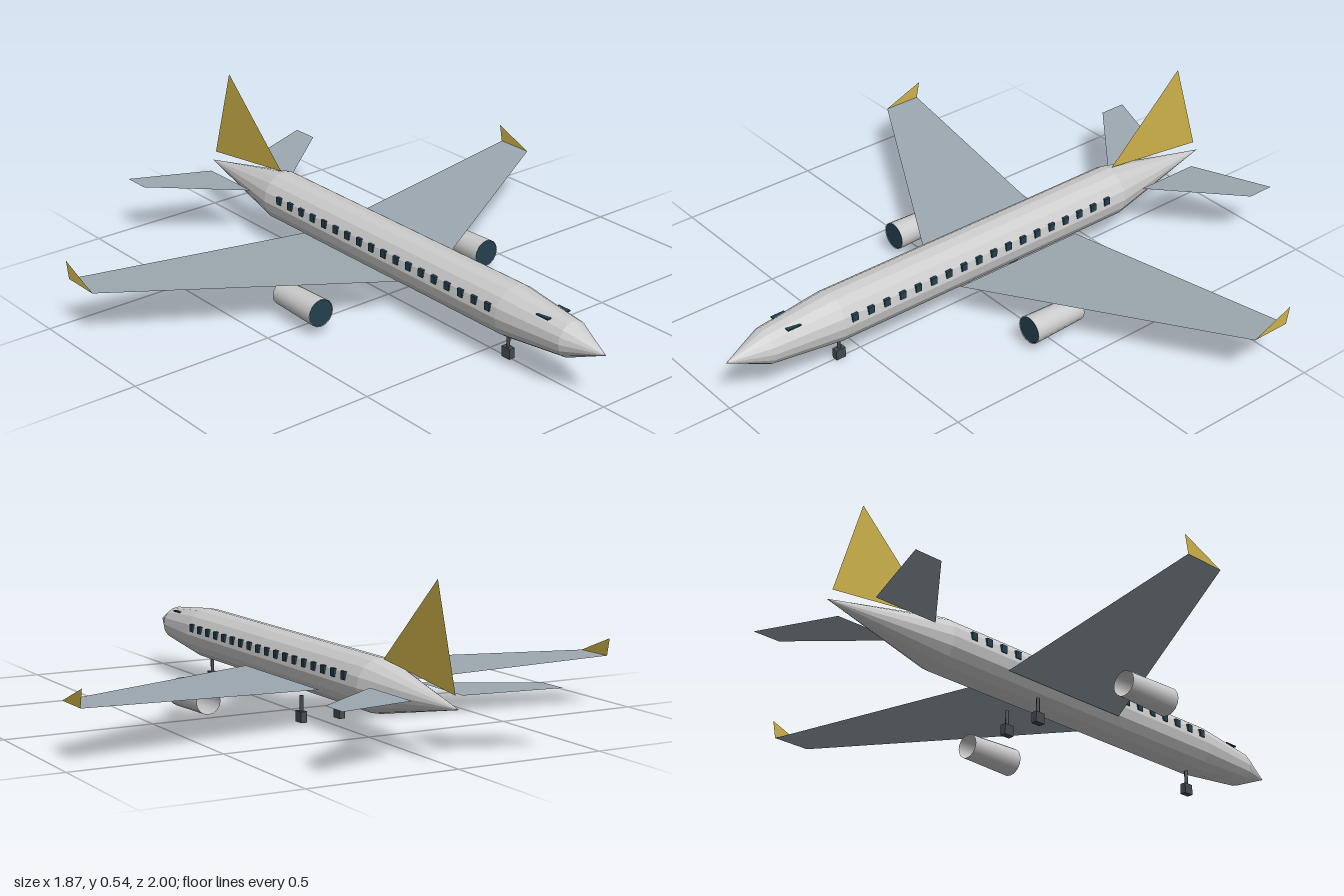
import * as THREE from 'three';

const mat = (color, extra = {}) => new THREE.MeshStandardMaterial({ color, ...extra });
const thin = { side: THREE.DoubleSide, flatShading: true };

export function createModel() {
  const plane = new THREE.Group();
  plane.name = 'airliner';
  const bodyMat = mat(0xcccccc, { flatShading: true });
  const shellMat = mat(0xcccccc, { side: THREE.DoubleSide });
  const wingMat = mat(0x9ca8b0, thin);
  const goldMat = mat(0xd0b44c, thin);
  const glassMat = mat(0x24404f, { side: THREE.DoubleSide });
  const gearMat = mat(0x454b50);

  const add = (name, geometry, material, x = 0, y = 0, z = 0) => {
    const mesh = new THREE.Mesh(geometry, material);
    mesh.name = name;
    mesh.position.set(x, y, z);
    plane.add(mesh);
    return mesh;
  };

  // Thin flat panel from its corner points, fanned from the first corner
  const panel = (name, corners, material, side = 1) => {
    const points = [];
    for (let i = 1; i < corners.length - 1; i++) {
      const tri = [corners[0], corners[i], corners[i + 1]];
      if (side < 0) tri.reverse();
      tri.forEach(([x, y, z]) => points.push(x * side, y, z));
    }
    const g = new THREE.BufferGeometry();
    g.setAttribute('position', new THREE.Float32BufferAttribute(points, 3));
    g.computeVertexNormals();
    return add(name, g, material);
  };

  // Fuselage: tail cone, tube and two-step nose turned about the long axis
  const profile = [[0, -1], [0.087, -0.57], [0.087, 0.61], [0.06, 0.86], [0, 1]];
  const fuselage = new THREE.LatheGeometry(profile.map(([r, z]) => new THREE.Vector2(r, z)), 16);
  fuselage.rotateX(Math.PI / 2);
  add('fuselage', fuselage, bodyMat, 0, 0.172, 0);

  // Cockpit glass, only its side edges break through the nose
  add('cockpitWindow', new THREE.BoxGeometry(0.096, 0.004, 0.05), glassMat, 0, 0.228, 0.775);

  // Tail fin
  panel('tailFin', [[0, 0.257, -0.585], [0, 0.21, -0.98], [0, 0.535, -0.88]], goldMat);

  const windowGeo = new THREE.BoxGeometry(0.01, 0.026, 0.022);
  const nacelleGeo = new THREE.CylinderGeometry(0.048, 0.042, 0.2, 16, 1, true).rotateX(Math.PI / 2);
  const intakeGeo = new THREE.CircleGeometry(0.046, 16);

  for (const side of [1, -1]) {
    const label = side > 0 ? 'left' : 'right';

    // Swept wing with slight dihedral and an upright winglet
    panel(label + 'Wing', [[0.087, 0.13, 0.155], [0.937, 0.172, -0.325],
      [0.937, 0.172, -0.463], [0.087, 0.13, -0.343]], wingMat, side);
    panel(label + 'Winglet', [[0.937, 0.172, -0.325], [0.937, 0.172, -0.463],
      [0.937, 0.232, -0.475]], goldMat, side);

    // Tailplane
    panel(label + 'Tailplane', [[0.087, 0.187, -0.65], [0.374, 0.2, -0.886],
      [0.374, 0.2, -0.984], [0.087, 0.187, -0.886]], wingMat, side);

    // Engine: open tapered nacelle with a dark intake
    add(label + 'Nacelle', nacelleGeo, shellMat, side * 0.355, 0.077, -0.008);
    add(label + 'Intake', intakeGeo, glassMat, side * 0.355, 0.077, 0.09);

    // Row of cabin windows
    for (let i = 0; i < 18; i++) {
      add(label + 'CabinWindow', windowGeo, glassMat, side * 0.083, 0.198, 0.574 - i * 0.0624);
    }
  }

  // Landing gear: nose leg and two main legs
  const strutGeo = new THREE.CylinderGeometry(0.006, 0.006, 0.06, 8);
  const wheelGeo = new THREE.BoxGeometry(0.022, 0.036, 0.036);
  for (const [name, x, z] of [['nose', 0, 0.583], ['leftMain', 0.07, -0.198], ['rightMain', -0.07, -0.198]]) {
    add(name + 'Strut', strutGeo, gearMat, x, 0.057, z);
    add(name + 'Wheel', wheelGeo, gearMat, x, 0.018, z);
  }
  return plane;
}
